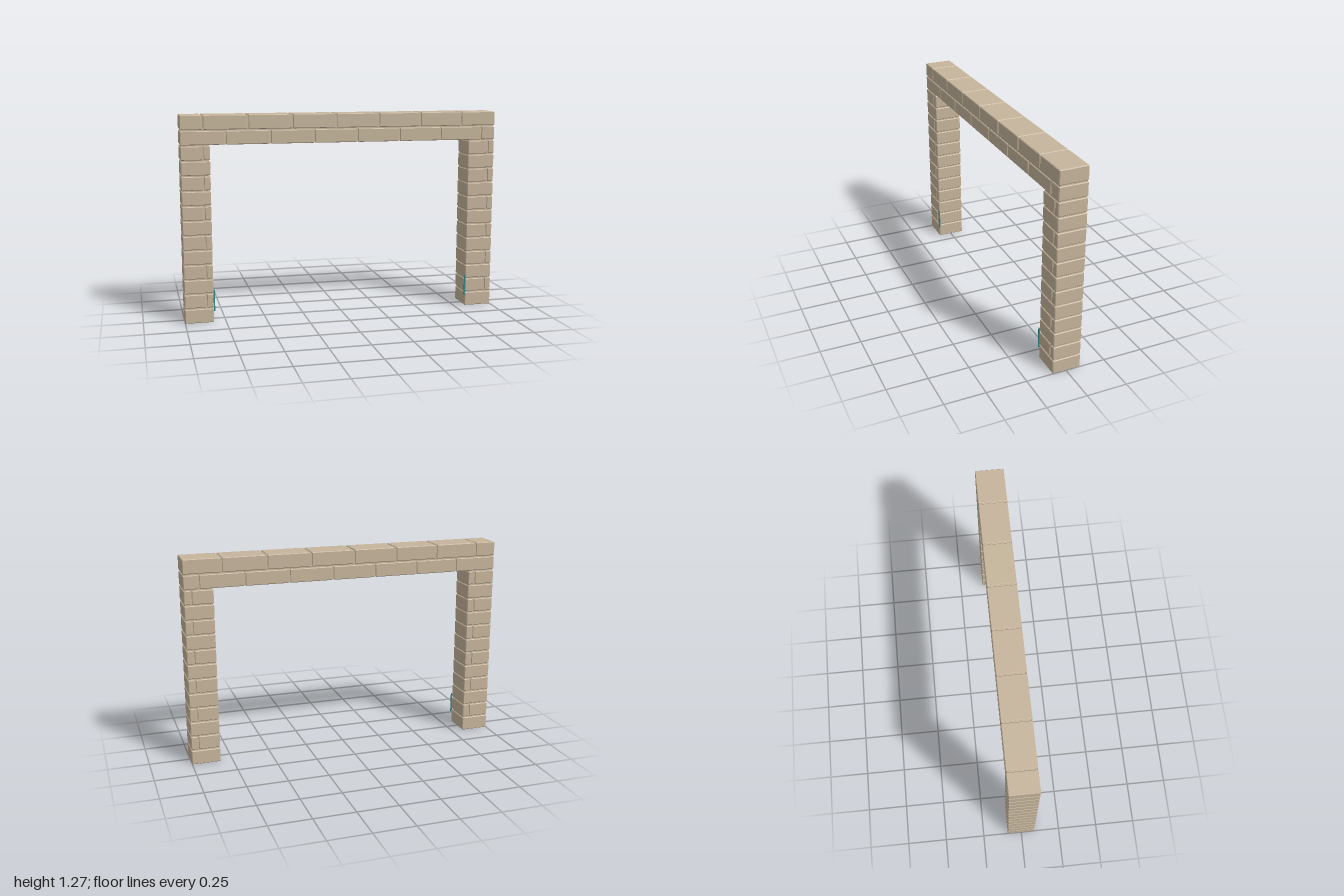
import * as THREE from 'three';
import { ConvexGeometry } from 'three/addons/geometries/ConvexGeometry.js';

const PITCH = 0.0909;   // course height including joint
const GAP = 0.008;      // joint width
const WIDTH = 0.176;    // pillar width and wall depth
const MID_Z = -0.002;
const COURSES = 14;
const BRICK = 0.2732;   // lintel brick length including joint

// Box with chamfered edges
function chamferedBox(w, h, d, c = 0.004) {
  const points = [];
  const [x, y, z] = [w / 2, h / 2, d / 2];
  for (const sx of [-1, 1]) for (const sy of [-1, 1]) for (const sz of [-1, 1]) {
    points.push(
      new THREE.Vector3(sx * x, sy * (y - c), sz * (z - c)),
      new THREE.Vector3(sx * (x - c), sy * y, sz * (z - c)),
      new THREE.Vector3(sx * (x - c), sy * (y - c), sz * z));
  }
  return new ConvexGeometry(points);
}

export function createModel() {
  const model = new THREE.Group();
  model.name = 'brickGateway';
  const stone = new THREE.MeshStandardMaterial({ color: 0xc6b59c });
  stone.name = 'tan stone';
  const teal = new THREE.MeshStandardMaterial({ color: 0x2f8c8c });
  teal.name = 'teal';

  function add(parent, name, geometry, material, x, y, z) {
    const mesh = new THREE.Mesh(geometry, material);
    mesh.name = name;
    mesh.position.set(x, y, z);
    parent.add(mesh);
  }

  // One course of bricks from x0 to x1, split at the given joints
  function course(parent, row, x0, x1, joints) {
    const cuts = [x0 - GAP / 2, ...joints, x1 + GAP / 2];
    const y0 = row === 0 ? 0 : row * PITCH + GAP / 2;
    const y1 = (row + 1) * PITCH - (row === COURSES - 1 ? 0 : GAP / 2);
    for (let i = 0; i + 1 < cuts.length; i++) {
      const w = cuts[i + 1] - cuts[i] - GAP;
      add(parent, 'brick', chamferedBox(w, y1 - y0, WIDTH), stone,
        (cuts[i] + cuts[i + 1]) / 2, (y0 + y1) / 2, MID_Z);
    }
  }

  // Recessed mortar filling the joints
  function mortar(parent, x0, x1, y0, y1) {
    const inset = 0.006;
    add(parent, 'mortar',
      new THREE.BoxGeometry(x1 - x0 - 2 * inset, y1 - y0 - 2 * inset, WIDTH - 2 * inset),
      stone, (x0 + x1) / 2, (y0 + y1) / 2, MID_Z);
  }

  // Pillars: whole courses alternate with split ones
  const pillarTop = (COURSES - 2) * PITCH;
  for (const [name, x0] of [['rightPillar', -1], ['leftPillar', 1 - WIDTH]]) {
    const pillar = new THREE.Group();
    pillar.name = name;
    for (let row = 0; row < COURSES - 2; row++) {
      course(pillar, row, x0, x0 + WIDTH, row % 2 ? [x0 + 0.133] : []);
    }
    mortar(pillar, x0, x0 + WIDTH, 0, pillarTop + 0.02);
    model.add(pillar);
  }

  // Lintel: two courses in running bond
  const lintel = new THREE.Group();
  lintel.name = 'lintel';
  [-0.7305, -0.867].forEach((first, k) => {
    const joints = Array.from({ length: 7 }, (_, i) => first + i * BRICK);
    course(lintel, COURSES - 2 + k, -1, 1, joints);
  });
  mortar(lintel, -1, 1, pillarTop, COURSES * PITCH);
  model.add(lintel);

  // Thin strips on the inner front corners
  for (const side of [-1, 1]) {
    add(model, 'cornerStrip', new THREE.BoxGeometry(0.008, 0.13, 0.008), teal,
      side * 0.82, 0.138, 0.087);
  }
  return model;
}
